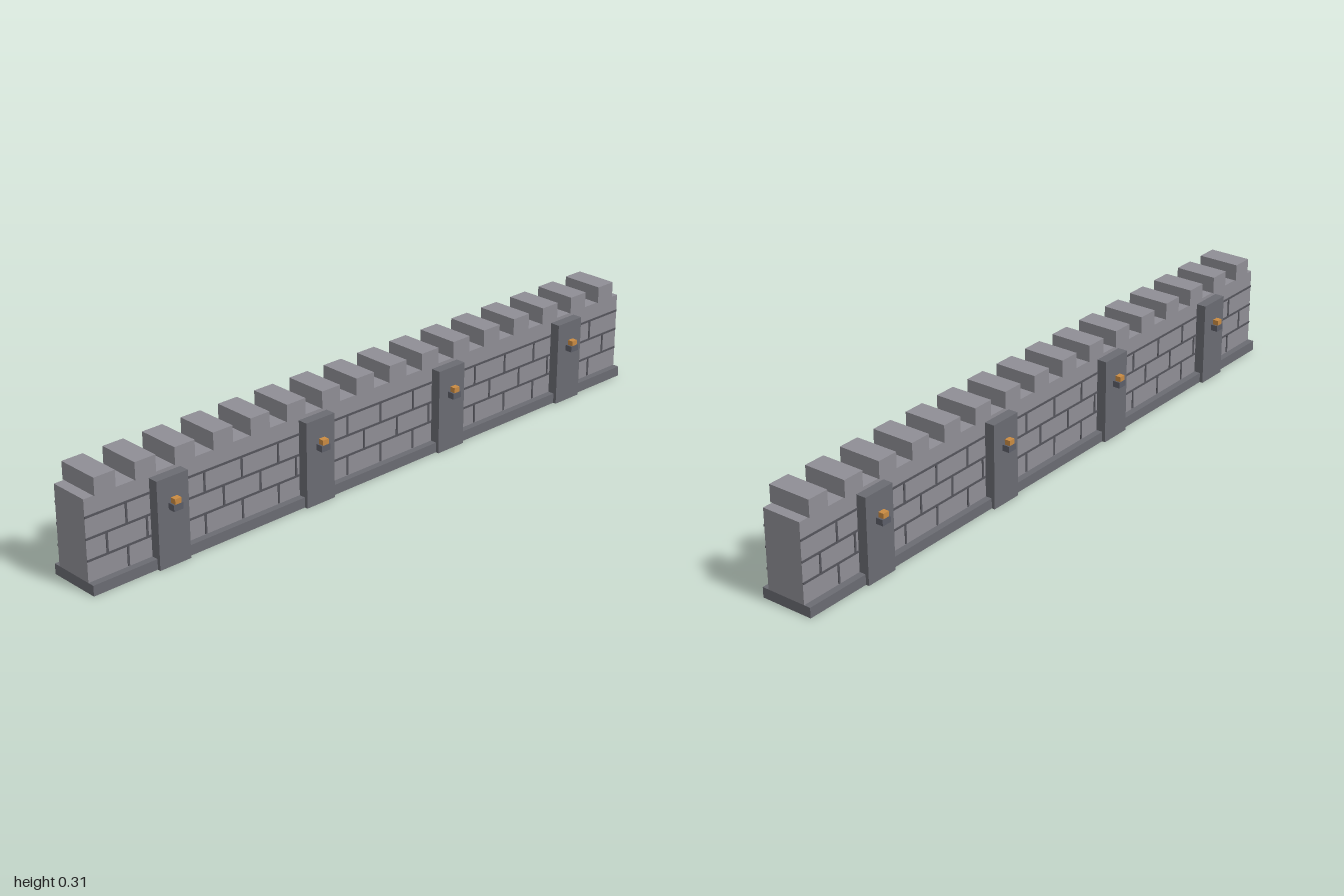
import * as THREE from 'three';

const mat = (name, color) => {
  const m = new THREE.MeshStandardMaterial({ color });
  m.name = name;
  return m;
};

export function createModel() {
  const model = new THREE.Group();
  model.name = 'castleWall';
  const stone = mat('stone', 0x8f8e95);
  const darkStone = mat('darkStone', 0x6a6b72);
  const mortar = mat('mortar', 0x55555c);
  const iron = mat('iron', 0x5c5e68);
  const flame = mat('flame', 0xc88a42);

  // Box given by its centre in x and z and its bottom in y
  const box = (name, material, w, h, d, x, y, z) => {
    const mesh = new THREE.Mesh(new THREE.BoxGeometry(w, h, d), material);
    mesh.name = name;
    mesh.position.set(x, y + h / 2, z);
    model.add(mesh);
  };

  // Plinth and wall body
  box('plinth', darkStone, 2, 0.03, 0.16, 0, 0, 0);
  box('wall', stone, 2, 0.23, 0.12, 0, 0.03, 0);

  // Merlons along the top
  for (let i = 0; i < 16; i++) {
    box('merlon', stone, 0.065, 0.05, 0.13, -0.9375 + i * 0.125, 0.26, 0);
  }

  for (const side of [1, -1]) {
    // Mortar lines, with joints staggered from course to course
    for (let row = 0; row < 3; row++) {
      const y = 0.03 + row * 0.06;
      box('courseLine', mortar, 2, 0.006, 0.003, 0, y + 0.057, side * 0.0605);
      const shift = row % 2 ? 0.0625 : 0.125;
      for (let x = -1 + shift; x < 0.99; x += 0.125) {
        box('brickJoint', mortar, 0.006, 0.056, 0.003, x, y + 0.002, side * 0.0605);
      }
    }

    // Buttresses, each with a torch
    for (const x of [-0.75, -0.25, 0.25, 0.75]) {
      box('buttress', darkStone, 0.1, 0.25, 0.032, x, 0, side * 0.074);
      box('torchBracket', iron, 0.03, 0.018, 0.024, x, 0.162, side * 0.1);
      box('torchFlame', flame, 0.02, 0.015, 0.017, x, 0.18, side * 0.1025);
    }
  }
  return model;
}
